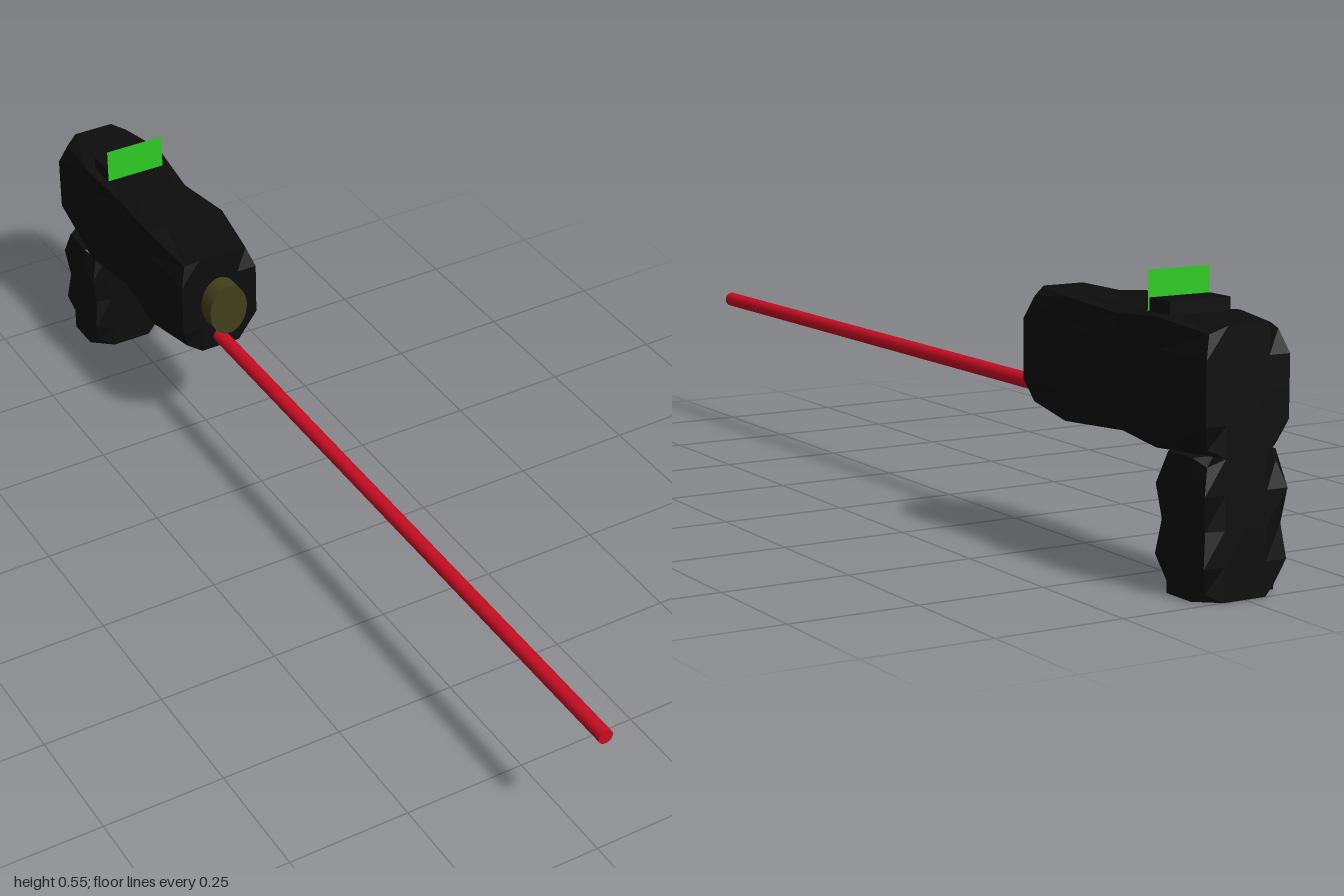
import * as THREE from 'three';

const mat = (color) => new THREE.MeshStandardMaterial({ color, flatShading: true });

function add(group, name, geometry, material, x, y, z) {
  const mesh = new THREE.Mesh(geometry, material);
  mesh.name = name;
  mesh.position.set(x, y, z);
  group.add(mesh);
  return mesh;
}

// Box with knocked-off corners and slightly pinched long edges
function wornBox(w, h, d, cut, pinch) {
  const geo = new THREE.BoxGeometry(w, h, d, 4, 4, 4);
  const p = geo.attributes.position;
  const half = [w / 2, h / 2, d / 2];
  const long = half.indexOf(Math.max(...half));
  for (let i = 0; i < p.count; i++) {
    const v = [p.getX(i), p.getY(i), p.getZ(i)];
    const outer = v.map((c, k) => Math.abs(Math.abs(c) - half[k]) < 1e-5);
    const count = outer.filter(Boolean).length;
    const middle = Math.abs(v[long]) < 1e-5;
    const pull = count === 3 ? cut : count === 2 && middle ? pinch : 0;
    const q = v.map((c, k) => (outer[k] ? c - Math.sign(c) * pull : c));
    p.setXYZ(i, ...q);
  }
  geo.computeVertexNormals();
  return geo;
}

export function createModel() {
  const group = new THREE.Group();
  group.name = 'laserPistol';
  const black = mat(0x0d0d0d);

  // Body and grip
  add(group, 'body', wornBox(0.174, 0.228, 0.58, 0.015, 0.012), black, 0, 0.364, -0.71);
  add(group, 'grip', wornBox(0.174, 0.25, 0.145, 0.015, 0.008), black, 0, 0.125, -0.9275);

  // Oval lens on the muzzle
  const lens = new THREE.CylinderGeometry(1, 1, 0.08, 32).rotateX(Math.PI / 2).scale(0.043, 0.058, 1);
  const lensMat = new THREE.MeshStandardMaterial({ color: 0x40401a });
  add(group, 'lens', lens, lensMat, 0, 0.363, -0.42);

  // Long beam under the lens
  const beam = new THREE.CylinderGeometry(0.015, 0.015, 1.44, 24).rotateX(Math.PI / 2);
  const beamMat = new THREE.MeshStandardMaterial({ color: 0xc80d22 });
  add(group, 'beam', beam, beamMat, -0.002, 0.277, 0.28);

  // Sight block with its thin upright screen
  add(group, 'sightBlock', new THREE.BoxGeometry(0.128, 0.04, 0.062), black, -0.003, 0.482, -0.823);
  const green = mat(0x2ecc22);
  green.side = THREE.DoubleSide;
  add(group, 'sightScreen', new THREE.PlaneGeometry(0.13, 0.072), green, -0.003, 0.514, -0.788);

  return group;
}
